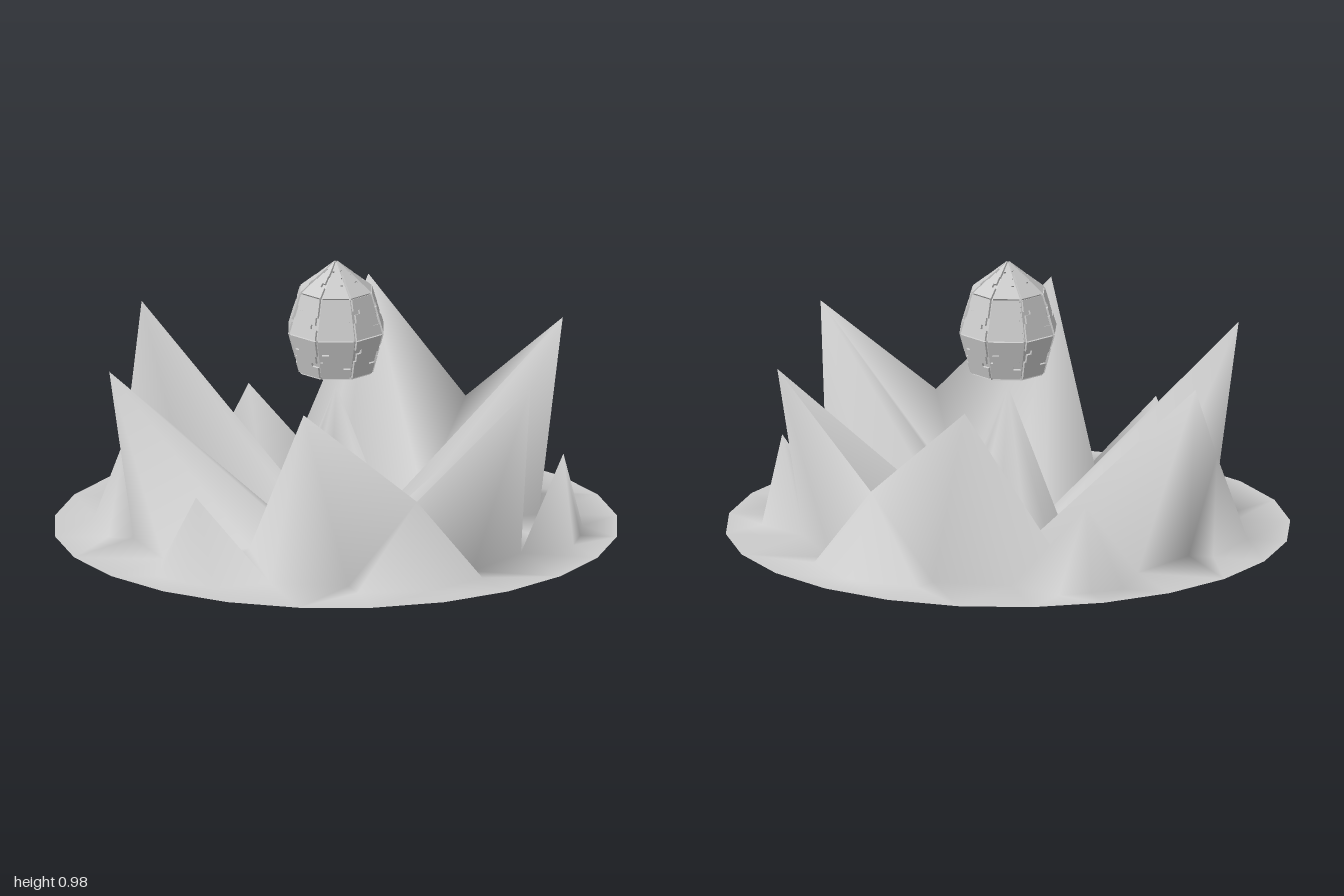
import * as THREE from 'three';
import { mergeVertices, mergeGeometries } from 'three/addons/utils/BufferGeometryUtils.js';

const material = (opts = {}) => new THREE.MeshStandardMaterial({ color: 0xcccccc, ...opts });

// Corner points of a 60 degree wedge: radius, angle from the small peak, height
const POINTS = {
  spikeTip: [0, 0, 0.52],
  H0: [0.2, 0, 0], R: [0.175, 30, 0.03], H60: [0.2, 60, 0], // foot of the central spike
  V0: [0.5, 0, 0.04], P: [0.866, 30, 0.67], V60: [0.75, 60, 0.3], F60: [0.5, 60, 0], // rim
  N: [0.69, 0, 0], Q: [0.73, 19, 0], S: [0.81, 0, 0.3], // small peak
  O0: [0.87, 0, 0], O: [0.87, 8, 0], B: [0.73, 41, 0], K: [0.815, 43, 0], B60: [0.86, 60, 0], // outer foot
  E0: [1, 0, 0], E15: [1, 15, 0], E30: [1, 30, 0], E45: [1, 45, 0], E60: [1, 60, 0], // border
};

const FACES = [
  // central spike
  'spikeTip H0 R', 'spikeTip R H60',
  // inner walls and floor
  'H0 V0 P', 'H0 P R', 'R P F60', 'P V60 F60', 'R F60 H60',
  // outer walls and skirt
  'V0 Q P', 'V0 N Q', 'P Q B', 'P B V60', 'V60 B K', 'V60 K B60',
  // small peak
  'N S Q', 'S O Q', 'S O0 O',
  // flat border
  'O0 E0 O', 'E0 E15 O', 'O E15 Q', 'Q E15 E30', 'Q E30 B', 'B E30 K', 'E30 E45 K', 'K E45 B60',
  'E45 E60 B60',
].map((f) => f.split(' '));

// Smooth star-shaped sheet: the wedge mirrored and repeated three times
function crownGeometry() {
  const positions = [];
  for (const centre of [-90, 30, 150]) {
    for (const side of [1, -1]) {
      for (const [a, b, c] of FACES) {
        const order = side > 0 ? [a, c, b] : [a, b, c];
        for (const name of order) {
          const [r, deg, y] = POINTS[name];
          const t = THREE.MathUtils.degToRad(centre + side * deg);
          positions.push(r * Math.cos(t), y, r * Math.sin(t));
        }
      }
    }
  }
  const geo = new THREE.BufferGeometry();
  geo.setAttribute('position', new THREE.Float32BufferAttribute(positions, 3));
  const welded = mergeVertices(geo, 1e-4);
  welded.computeVertexNormals();
  return welded;
}

// Faceted egg profile: radius, height
const PROFILE = [[0, 0.55], [0.134, 0.585], [0.174, 0.73], [0.13, 0.87], [0, 0.973]];
const SIDES = 8;

function eggPoint(column, row) {
  const [r, y] = PROFILE[row];
  const t = (column / SIDES) * Math.PI * 2;
  return new THREE.Vector3(r * Math.sin(t), y, r * Math.cos(t));
}

// Raised plate with stepped edges, fitted to one facet of the egg
function plateGeometry(column, row) {
  const outline = [
    [0.03, 0], [0.97, 0], [0.97, 0.25], [0.74, 0.25], [0.74, 0.36], [0.9, 0.36], [0.9, 0.55],
    [0.97, 0.55], [0.97, 1], [0.03, 1], [0.03, 0.72], [0.3, 0.72], [0.3, 0.62], [0.1, 0.62],
    [0.1, 0.42], [0.03, 0.42],
  ].map(([u, v]) => new THREE.Vector2(u, v));
  const geo = new THREE.ExtrudeGeometry(new THREE.Shape(outline), { depth: 1, bevelEnabled: false });
  const a = eggPoint(column, row), b = eggPoint(column + 1, row);
  const d = eggPoint(column, row + 1), c = eggPoint(column + 1, row + 1);
  const across = b.clone().sub(a).add(c).sub(d);
  const up = d.clone().add(c).sub(a).sub(b);
  const normal = across.cross(up).normalize();
  const turn = (column + row) % 2 === 1;
  const pos = geo.attributes.position;
  for (let i = 0; i < pos.count; i++) {
    const u = turn ? 1 - pos.getX(i) : pos.getX(i);
    const v = turn ? 1 - pos.getY(i) : pos.getY(i);
    const p = a.clone().lerp(b, u).lerp(d.clone().lerp(c, u), v);
    p.addScaledVector(normal, pos.getZ(i) * 0.008);
    pos.setXYZ(i, p.x, p.y, p.z);
  }
  geo.computeVertexNormals();
  return geo;
}

export function createModel() {
  const model = new THREE.Group();

  const crown = new THREE.Mesh(crownGeometry(), material({ side: THREE.DoubleSide }));
  crown.name = 'crownBase';
  model.add(crown);

  // Floating egg: core and grooved shell
  const egg = new THREE.Group();
  egg.name = 'floatingEgg';
  const core = new THREE.Mesh(
    new THREE.LatheGeometry(PROFILE.map(([r, y]) => new THREE.Vector2(r, y)), SIDES),
    material({ flatShading: true }),
  );
  core.name = 'eggCore';
  const plates = [];
  for (let row = 0; row < PROFILE.length - 1; row++) {
    for (let column = 0; column < SIDES; column++) plates.push(plateGeometry(column, row));
  }
  const shell = new THREE.Mesh(mergeGeometries(plates), material({ flatShading: true }));
  shell.name = 'eggPlates';
  egg.add(core, shell);
  model.add(egg);

  return model;
}
